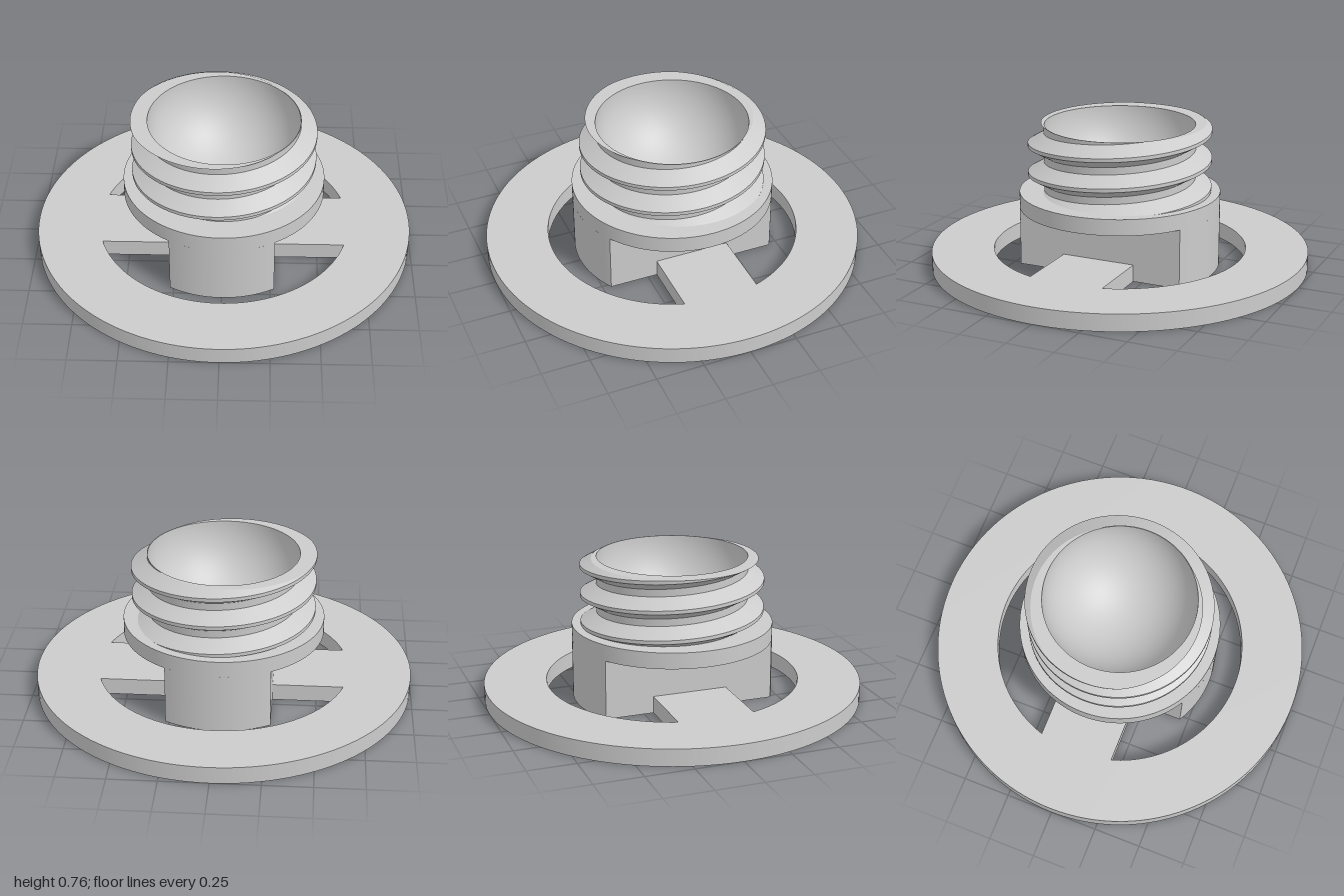
import * as THREE from 'three';
import { toCreasedNormals } from 'three/addons/utils/BufferGeometryUtils.js';

const PLATE_TOP = 0.09, FLANGE_BOTTOM = 0.315, FLANGE_TOP = 0.4, TOP = 0.757;
const HUB_R = 0.53, HUB_X = 0.27, RING_INNER = 0.67, BAR_Z = 0.2;
const PITCH = 0.155, ROOT_R = 0.399, CREST_R = 0.483, BOWL_R = 0.395;
const SEGMENTS = 128;
const material = new THREE.MeshStandardMaterial({ color: 0xcccccc });

function addPart(group, name, geometry) {
  const mesh = new THREE.Mesh(geometry, material);
  mesh.name = name;
  group.add(mesh);
}

// Extrudes a plan shape upwards from y0 to y1
function slab(shape, y0, y1) {
  const geometry = new THREE.ExtrudeGeometry(shape, { depth: y1 - y0, bevelEnabled: false, curveSegments: 64 });
  geometry.rotateX(-Math.PI / 2).translate(0, y0, 0);
  return toCreasedNormals(geometry, 0.5);
}

function disc(radius) {
  return new THREE.Shape().absarc(0, 0, radius, 0, Math.PI * 2, false);
}

// Window between ring, crossbar and hub; side is +1 or -1
function windowHole(side) {
  const a = Math.asin(BAR_Z / RING_INNER), h = Math.acos(HUB_X / HUB_R);
  const hole = new THREE.Path();
  hole.absarc(0, 0, RING_INNER, side * a, side * (Math.PI - a), side < 0);
  hole.lineTo(-HUB_X, side * BAR_Z);
  hole.absarc(0, 0, HUB_R, side * (Math.PI - h), side * h, side > 0);
  hole.lineTo(HUB_X, side * BAR_Z);
  hole.closePath();
  return hole;
}

// Strip between two edge curves lo(i) and hi(i), each returning a point
function strip(count, lo, hi) {
  const positions = [], index = [];
  for (let i = 0; i <= count; i++) {
    positions.push(...lo(i), ...hi(i));
    if (i < count) {
      const k = i * 2;
      index.push(k, k + 2, k + 3, k, k + 3, k + 1);
    }
  }
  const geometry = new THREE.BufferGeometry();
  geometry.setAttribute('position', new THREE.Float32BufferAttribute(positions, 3));
  geometry.setIndex(index);
  geometry.computeVertexNormals();
  return geometry;
}

// Thread profile over one pitch: [height offset, radius]
const CREST = PITCH / 16, ROOT = PITCH * 3 / 8;
const PROFILE = [[-CREST, CREST_R], [CREST, CREST_R], [ROOT, ROOT_R], [PITCH - ROOT, ROOT_R], [PITCH - CREST, CREST_R]];

function threadRadius(offset) {
  let d = offset - Math.round(offset / PITCH) * PITCH;
  d = THREE.MathUtils.clamp((Math.abs(d) - CREST) / (ROOT - CREST), 0, 1);
  return THREE.MathUtils.lerp(CREST_R, ROOT_R, d);
}

// Point on the helical surface, clipped between flange and top
function threadPoint(i, offset) {
  const t = i / SEGMENTS, angle = -t * Math.PI * 2;
  const crestY = 0.525 - 2 * PITCH + t * PITCH;
  const y = THREE.MathUtils.clamp(crestY + offset, FLANGE_TOP, TOP);
  const r = threadRadius(y - crestY);
  return [r * Math.cos(angle), y, r * Math.sin(angle)];
}

export function createModel() {
  const group = new THREE.Group();
  group.name = 'threadedBase';

  // Ring with crossbar and hub footprint
  const plate = disc(1);
  plate.holes.push(windowHole(1), windowHole(-1));
  addPart(group, 'basePlate', slab(plate, 0, PLATE_TOP));

  // Hub: round block with two flat sides
  const h = Math.acos(HUB_X / HUB_R);
  const hub = new THREE.Shape();
  hub.absarc(0, 0, HUB_R, h, Math.PI - h, false);
  hub.absarc(0, 0, HUB_R, Math.PI + h, Math.PI * 2 - h, false);
  hub.closePath();
  addPart(group, 'hub', slab(hub, PLATE_TOP, FLANGE_BOTTOM));

  // Flange, open in the middle for the bowl
  const flange = disc(HUB_R);
  flange.holes.push(new THREE.Path().absarc(0, 0, 0.25, 0, Math.PI * 2, true));
  addPart(group, 'flange', slab(flange, FLANGE_BOTTOM, FLANGE_TOP));

  // Screw thread: one helical strip per face of the profile
  const thread = new THREE.Group();
  thread.name = 'screwThread';
  const names = ['crest', 'upperFlank', 'root', 'lowerFlank'];
  names.forEach((name, k) => addPart(thread, name, strip(SEGMENTS * 5,
    i => threadPoint(i, PROFILE[k][0]), i => threadPoint(i, PROFILE[k + 1][0]))));
  group.add(thread);

  // Flat rim cut across the thread
  addPart(group, 'rim', strip(SEGMENTS, i => threadPoint(i, 100 * PITCH), i => {
    const angle = -i / SEGMENTS * Math.PI * 2;
    return [BOWL_R * Math.cos(angle), TOP, BOWL_R * Math.sin(angle)];
  }));

  // Hemispherical bowl, facing inwards
  const bowl = [];
  for (let i = 0; i <= 32; i++) {
    const a = i / 32 * Math.PI / 2;
    bowl.push(new THREE.Vector2(Math.max(0, BOWL_R * Math.cos(a)), TOP - BOWL_R * Math.sin(a)));
  }
  addPart(group, 'bowl', new THREE.LatheGeometry(bowl, SEGMENTS));

  return group;
}
